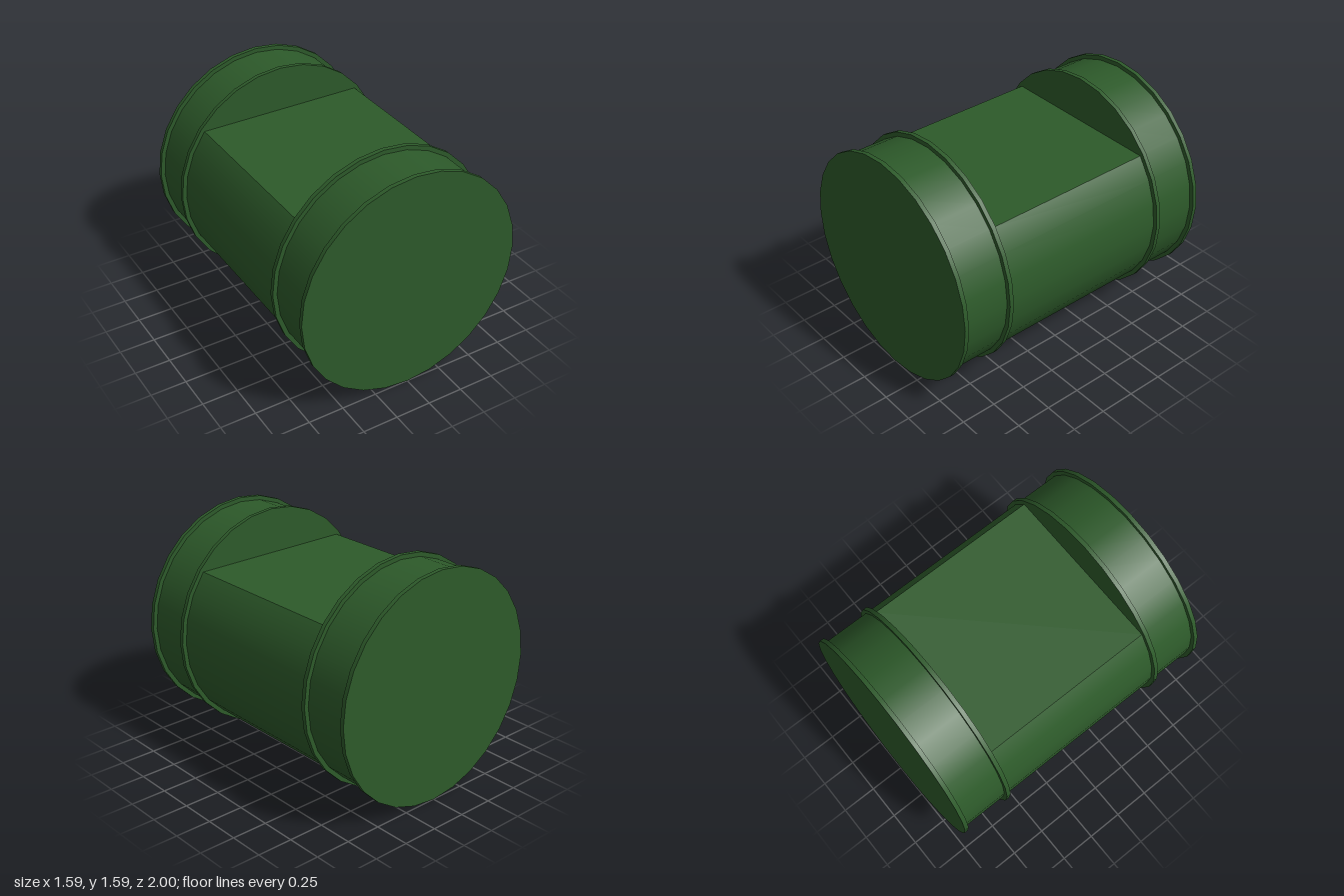
import * as THREE from 'three';

const SIDES = 28;
const RIM_R = 0.795, DRUM_R = 0.765, CENTRE_Y = 0.795;
const RIM_W = 0.03, INNER_Z = 0.62;
const STEP = (Math.PI * 2) / SIDES;

export function createModel() {
  const group = new THREE.Group();
  const green = new THREE.MeshStandardMaterial({ color: 0x2d5a2a });

  const add = (name, geometry, y, z) => {
    const mesh = new THREE.Mesh(geometry, green);
    mesh.name = name;
    mesh.position.set(0, y, z);
    group.add(mesh);
  };

  // Cylinder lying along z, from z0 to z1; theta 0 points straight down
  const barrel = (name, r, z0, z1, open = false, start = 0, length = Math.PI * 2) => {
    const segments = Math.round(length / STEP);
    const geometry = new THREE.CylinderGeometry(r, r, z1 - z0, segments, 1, open, start, length);
    add(name, geometry.rotateX(Math.PI / 2), CENTRE_Y, (z0 + z1) / 2);
  };

  // End drums, each between an inner and an outer rim
  for (const [label, s] of [['front', 1], ['back', -1]]) {
    const span = (name, r, a, b, open) =>
      barrel(name, r, Math.min(s * a, s * b), Math.max(s * a, s * b), open);
    span(label + 'OuterRim', RIM_R, 1 - RIM_W, 1);
    span(label + 'Drum', DRUM_R, INNER_Z + RIM_W, 1 - RIM_W, true);
    span(label + 'InnerRim', RIM_R, INNER_Z, INNER_Z + RIM_W);
  }

  // Middle section: the top eight sides are cut away
  const half = 10 * STEP;
  barrel('middleBody', DRUM_R, -INNER_Z, INNER_Z, true, -half, half * 2);

  // Flat deck closing the cut
  const deck = new THREE.PlaneGeometry(2 * DRUM_R * Math.sin(half), 2 * INNER_Z);
  add('flatDeck', deck.rotateX(-Math.PI / 2), CENTRE_Y - DRUM_R * Math.cos(half), 0);

  return group;
}
